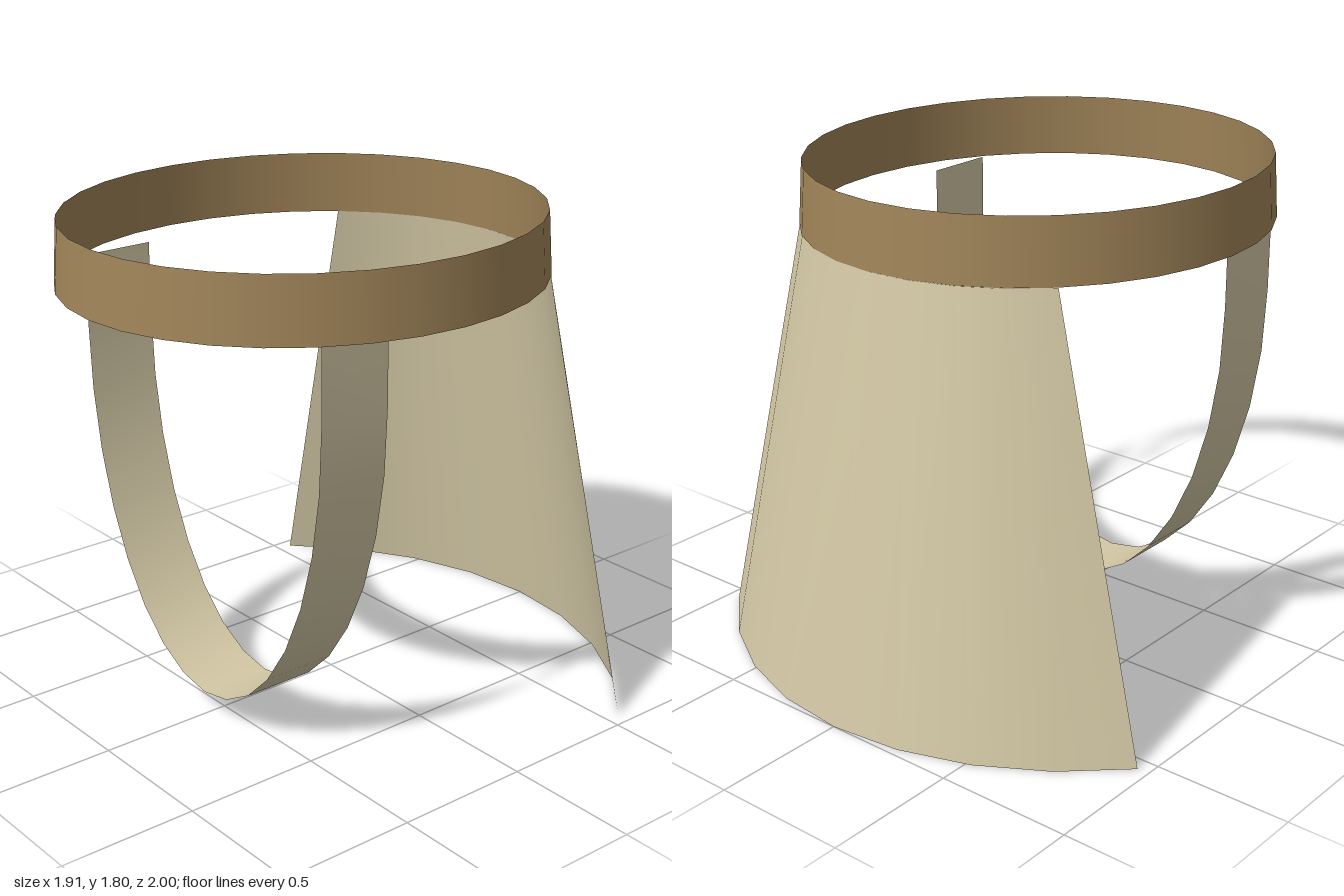
import * as THREE from 'three';

const bandBrown = new THREE.MeshStandardMaterial({ color: 0xa08458, side: THREE.DoubleSide });
const clothCream = new THREE.MeshStandardMaterial({ color: 0xd4c9a6, side: THREE.DoubleSide });
bandBrown.name = 'bandBrown';
clothCream.name = 'clothCream';

// Smooth thin sheet spanned between two edges with equal point counts
function sheet(edgeA, edgeB) {
  const positions = [], index = [];
  edgeA.forEach((p, i) => {
    positions.push(...p, ...edgeB[i]);
    if (i > 0) {
      const a = 2 * (i - 1);
      index.push(a, a + 1, a + 2, a + 1, a + 3, a + 2);
    }
  });
  const geometry = new THREE.BufferGeometry();
  geometry.setAttribute('position', new THREE.Float32BufferAttribute(positions, 3));
  geometry.setIndex(index);
  geometry.computeVertexNormals();
  return geometry;
}

// Quarter of an ellipse around the back, from +x to -x
function backArc(cx, y, cz, rx, rz, segments = 8) {
  return Array.from({ length: segments + 1 }, (_, i) => {
    const a = Math.PI / 4 - (i / segments) * Math.PI / 2;
    return [cx + rx * Math.sin(a), y, cz - rz * Math.cos(a)];
  });
}

function addMesh(group, name, geometry, material) {
  const mesh = new THREE.Mesh(geometry, material);
  mesh.name = name;
  group.add(mesh);
}

export function createModel() {
  const group = new THREE.Group();
  group.name = 'headgear';

  // Oval headband, slightly narrower at the top
  const band = new THREE.CylinderGeometry(0.982, 1, 0.23, 32, 1, true);
  band.scale(0.81, 1, 0.88);
  band.translate(0.006, 1.681, 0.12);
  addMesh(group, 'headband', band, bandBrown);

  // Flared cloth hanging from the back of the band
  const flap = sheet(
    backArc(0.003, 1.566, 0.12, 0.81, 0.88),
    backArc(-0.002, 0, 0.52, 1.35, 1.52));
  addMesh(group, 'neckFlap', flap, clothCream);

  // Chin strap: half ellipse with straight upper ends
  const cx = 0.01, bend = 1.3, top = 1.566, r = 0.665;
  const path = [[cx - r, top]];
  for (let i = 0; i <= 16; i++) {
    const a = -Math.PI / 2 + (i / 16) * Math.PI;
    path.push([cx + r * Math.sin(a), bend - 1.207 * Math.cos(a)]);
  }
  path.push([cx + r, top]);
  const strap = sheet(path.map(([x, y]) => [x, y, 0.592]), path.map(([x, y]) => [x, y, 0.32]));
  addMesh(group, 'chinStrap', strap, clothCream);

  return group;
}
